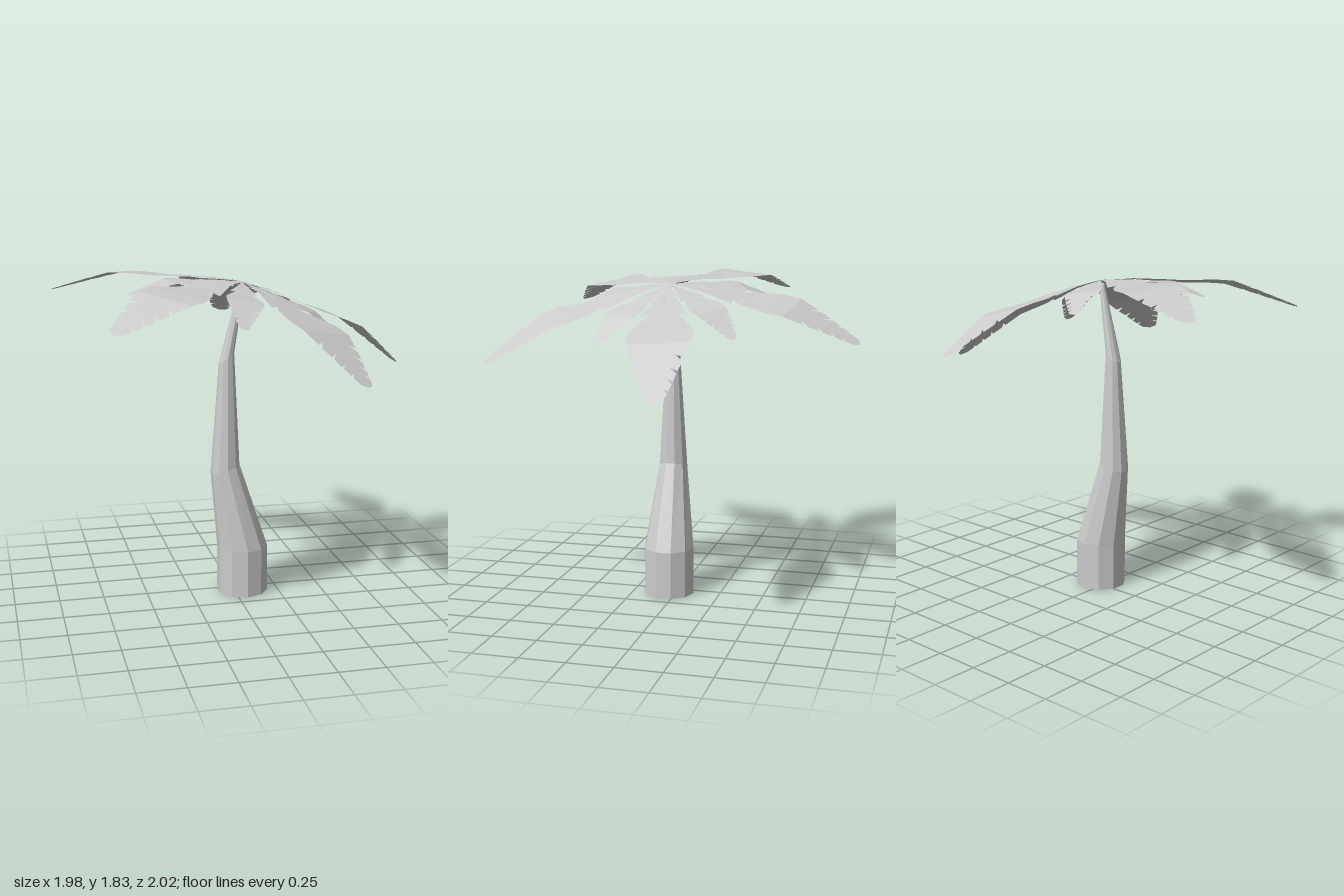
import * as THREE from 'three';

const trunkMaterial = new THREE.MeshStandardMaterial({ color: 0xcccccc, flatShading: true });
const leafMaterial = new THREE.MeshStandardMaterial({ color: 0xcccccc, flatShading: true, side: THREE.DoubleSide });

// Bent ten-sided trunk: a cylinder whose rings are moved, scaled and tilted
function createTrunk() {
  const rings = [ // centre x, height, radius, tilt
    [0.05, 0, 0.145, 0],
    [0.05, 0.27, 0.145, 0],
    [-0.05, 0.735, 0.082, 0.3],
    [-0.04, 1.365, 0.043, 0.7],
    [0.045, 1.765, 0.016, 0.3],
  ];
  const geometry = new THREE.CylinderGeometry(1, 1, 4, 10, 4);
  const p = geometry.attributes.position;
  for (let i = 0; i < p.count; i++) {
    const [cx, cy, r, tilt] = rings[Math.round(p.getY(i) + 2)];
    const dx = p.getX(i) * r;
    p.setXYZ(i, cx + dx, cy + dx * tilt, 0.045 + p.getZ(i) * r);
  }
  geometry.computeVertexNormals();
  const trunk = new THREE.Mesh(geometry, trunkMaterial);
  trunk.name = 'trunk';
  return trunk;
}

// Half outline of a leaf: distance along the midrib, half width; with torn notches
const outline = [
  [0.01, 0.01], [0.13, 0.03], [0.19, 0.065], [0.185, 0.045],
  [0.41, 0.13], [0.39, 0.075], [0.455, 0.115], [0.6, 0.17], [0.7, 0.165],
  [0.8, 0.135], [0.78, 0.09], [0.825, 0.128],
  [0.88, 0.105], [0.855, 0.06], [0.895, 0.1],
  [0.94, 0.085], [0.92, 0.05], [0.955, 0.08],
  [0.995, 0.065], [0.98, 0.035], [1.01, 0.06],
  [1.05, 0.04], [1.065, 0],
];

// Droop of the leaf along its length
const droop = [[0, 0], [0.2, 0.02], [0.45, 0.07], [0.68, 0.1], [0.86, 0.19], [1.07, 0.3]];
function heightAt(u) {
  let i = 1;
  while (i < droop.length - 1 && u > droop[i][0]) i++;
  const [a, ya] = droop[i - 1], [b, yb] = droop[i];
  return -(ya + (yb - ya) * (u - a) / (b - a));
}

// Leaf along +x: slanted strips from the midrib to the edge, mirrored on both sides
function createLeafGeometry() {
  const positions = [], index = [];
  for (const side of [1, -1]) {
    const start = positions.length / 3;
    outline.forEach(([u, h], i) => {
      const mid = u - 0.7 * h;
      positions.push(mid, heightAt(mid), 0, u, heightAt(u), side * h);
      if (i === 0) return;
      const a = start + 2 * i - 2, b = a + 1, c = a + 2, d = a + 3;
      if (side > 0) index.push(a, b, c, b, d, c);
      else index.push(a, c, b, b, c, d);
    });
  }
  const indexed = new THREE.BufferGeometry();
  indexed.setAttribute('position', new THREE.Float32BufferAttribute(positions, 3));
  indexed.setIndex(index);
  const geometry = indexed.toNonIndexed();
  geometry.computeVertexNormals();
  return geometry;
}

// Tilted crown with five large leaves and five small ones between them
function createCrown() {
  const crown = new THREE.Group();
  crown.name = 'crown';
  const geometry = createLeafGeometry();
  for (let i = 0; i < 10; i++) {
    const small = i % 2 === 1;
    const leaf = new THREE.Mesh(geometry, leafMaterial);
    leaf.name = small ? 'smallLeaf' : 'largeLeaf';
    leaf.scale.setScalar(small ? 0.59 : 1.01);
    leaf.rotation.y = THREE.MathUtils.degToRad(9 - 36 * i);
    leaf.position.y = small ? -0.004 : 0;
    crown.add(leaf);
  }
  crown.position.set(0.05, 1.785, 0.04);
  crown.rotation.set(0.03, 0, -0.217);
  return crown;
}

export function createModel() {
  const model = new THREE.Group();
  model.name = 'palmTree';
  model.add(createTrunk(), createCrown());
  return model;
}
